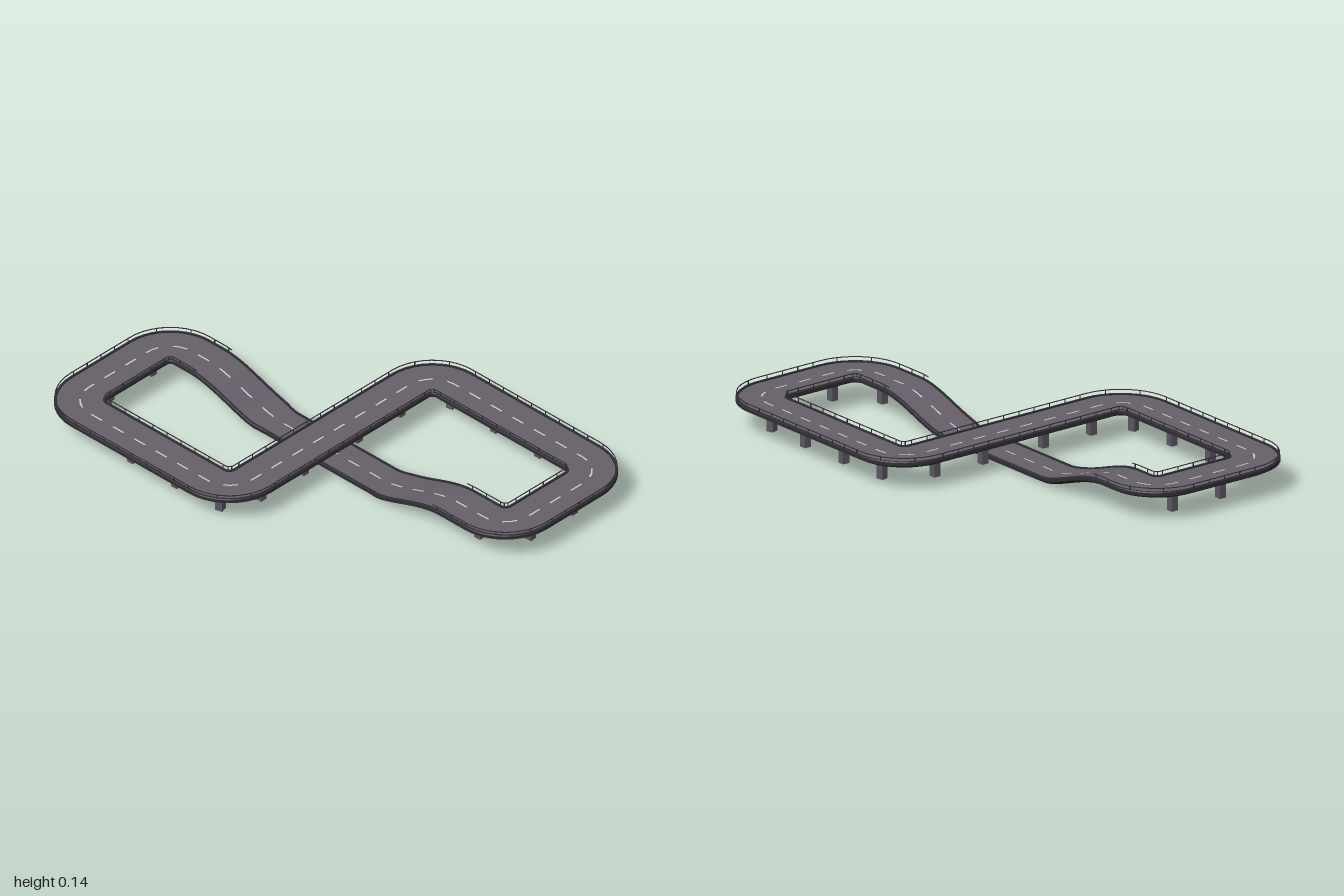
import * as THREE from 'three';
import { mergeGeometries, toCreasedNormals } from 'three/addons/utils/BufferGeometryUtils.js';

const { smoothstep, lerp } = THREE.MathUtils;
const RADIUS = 0.12, DROP = 0.095, CROSS_Z = -0.03;

// One cross-section station: position, heading, height offset and width factor.
function station(x, z, tx, tz) {
  const onRamp = Math.abs(x - 0.01) < 0.02 && Math.abs(tz) > 0.9;
  const d = onRamp ? Math.abs(z - CROSS_Z) : 1;
  return {
    x, z, tx, tz,
    y: -DROP * (1 - smoothstep(d, 0.26, 0.67)),
    w: lerp(0.89, 1, smoothstep(d, 0.27, 0.35)),
  };
}

// Figure-eight centre line: straight runs joined by quarter-circle bends.
function makeStations() {
  const corners = [[0.01, -0.9], [-0.555, -0.9], [-0.555, CROSS_Z], [0.555, CROSS_Z], [0.555, 0.895], [0.01, 0.895]]
    .map(([x, z]) => new THREE.Vector2(x, z));
  const n = corners.length, list = [];
  for (let i = 0; i < n; i++) {
    const prev = corners[(i + n - 1) % n], c = corners[i], next = corners[(i + 1) % n];
    const d1 = c.clone().sub(prev).normalize(), d2 = next.clone().sub(c).normalize();
    const run = c.distanceTo(prev) - 2 * RADIUS, steps = Math.ceil(run / 0.03);
    for (let k = 0; k < steps; k++) {
      const p = prev.clone().addScaledVector(d1, RADIUS + run * k / steps);
      list.push(station(p.x, p.y, d1.x, d1.y));
    }
    for (let k = 0; k < 10; k++) {
      const a = k / 10 * Math.PI / 2, co = Math.cos(a), si = Math.sin(a);
      const p = c.clone().addScaledVector(d1, RADIUS * (si - 1)).addScaledVector(d2, RADIUS * (1 - co));
      list.push(station(p.x, p.y, d1.x * co + d2.x * si, d1.y * co + d2.y * si));
    }
  }
  // Start the lap at the bottom of the underpass.
  list.push(...list.splice(0, 26));
  list.push(list[0]);
  return list;
}

const place = (s, u, v) => [s.x - s.tz * u * s.w, s.y + v, s.z + s.tx * u * s.w];

// Sweep a profile of [across, height] points, listed left to right over the top.
function sweep(stations, profile) {
  const pos = [];
  for (let i = 0; i < stations.length - 1; i++) {
    for (let k = 0; k < profile.length - 1; k++) {
      const a = place(stations[i], ...profile[k]), b = place(stations[i], ...profile[k + 1]);
      const c = place(stations[i + 1], ...profile[k]), d = place(stations[i + 1], ...profile[k + 1]);
      pos.push(...a, ...b, ...c, ...b, ...d, ...c);
    }
  }
  const g = new THREE.BufferGeometry();
  g.setAttribute('position', new THREE.Float32BufferAttribute(pos, 3));
  return toCreasedNormals(g, 0.5);
}

// Lookup of a station by distance along the lap.
function makeLookup(stations) {
  const dist = [0];
  for (let i = 1; i < stations.length; i++) {
    const a = stations[i - 1], b = stations[i];
    dist.push(dist[i - 1] + Math.hypot(b.x - a.x, b.z - a.z));
  }
  const length = dist[dist.length - 1];
  const at = (s) => {
    let i = 1;
    while (i < dist.length - 1 && dist[i] < s) i++;
    const a = stations[i - 1], b = stations[i], t = (s - dist[i - 1]) / (dist[i] - dist[i - 1]);
    const out = {};
    for (const key of Object.keys(a)) out[key] = lerp(a[key], b[key], t);
    return out;
  };
  return { at, length };
}

export function createModel() {
  const model = new THREE.Group();
  const material = (color) => new THREE.MeshStandardMaterial({ color, side: THREE.DoubleSide });
  const roadMat = material(0x665f69), edgeMat = material(0x2f2c33);
  const underMat = material(0x242127), pillarMat = material(0x5a5560), paintMat = material(0xc4c0c0);
  const add = (name, geometry, mat) => {
    const mesh = new THREE.Mesh(geometry, mat);
    mesh.name = name;
    model.add(mesh);
    return mesh;
  };

  const stations = makeStations();
  const { at, length } = makeLookup(stations);

  // Road deck, raised kerbs and tapered underside
  add('roadSurface', sweep(stations, [[-0.089, 0.119], [0.089, 0.119]]), roadMat);
  add('leftKerb', sweep(stations, [[-0.1, 0.108], [-0.1, 0.121], [-0.097, 0.125], [-0.089, 0.125], [-0.089, 0.119]]), edgeMat);
  add('rightKerb', sweep(stations, [[0.089, 0.119], [0.089, 0.125], [0.097, 0.125], [0.1, 0.121], [0.1, 0.108]]), edgeMat);
  add('underside', sweep(stations, [[0.1, 0.108], [0.078, 0.096], [-0.078, 0.096], [-0.1, 0.108]]), underMat);

  // Dashed centre line
  const dashes = Math.round(length / 0.115), dashStep = length / dashes;
  const paint = [];
  for (let i = 0; i < dashes; i++) {
    const part = [0, 0.03, 0.058].map((o) => at(i * dashStep + o));
    paint.push(sweep(part, [[-0.0035, 0.12], [0.0035, 0.12]]));
  }
  add('centreDashes', mergeGeometries(paint), paintMat);

  // Guard rails with posts on both sides of the raised stretch
  const raised = stations.filter((s) => s.y > -0.004);
  for (const [side, u] of [['left', -0.096], ['right', 0.096]]) {
    const r = 0.0015;
    add(side + 'Rail', sweep(raised, [[u - r, 0.138], [u - r, 0.141], [u + r, 0.141], [u + r, 0.138], [u - r, 0.138]]), edgeMat);
    const posts = [];
    for (let s = 0; s < length; s += 0.075) {
      const p = at(s);
      if (p.y <= -0.004) continue;
      posts.push(new THREE.BoxGeometry(0.003, 0.018, 0.003).translate(...place(p, u, 0.131)));
    }
    add(side + 'RailPosts', mergeGeometries(posts), edgeMat);
  }

  // Support pillars: x, z and turn about the vertical
  const pillars = [
    [-0.095, -0.895, 0], [-0.33, -0.895, 0], [-0.53, -0.765, 0.4],
    [-0.555, -0.55, 0], [-0.555, -0.315, 0], [-0.545, -0.09, 0.3],
    [-0.39, -0.025, 0], [-0.155, -0.025, 0], [0.14, -0.025, 0], [0.375, -0.025, 0],
    [0.55, 0.08, 0.2], [0.555, 0.31, 0], [0.555, 0.545, 0], [0.545, 0.765, 0.3],
    [0.375, 0.895, 0], [0.145, 0.895, 0.1], [0.015, 0.75, 0],
  ];
  for (const [x, z, turn] of pillars) {
    const pillar = add('supportPillar', new THREE.BoxGeometry(0.03, 0.09, 0.03), pillarMat);
    pillar.position.set(x, 0.055, z);
    pillar.rotation.y = turn;
  }
  return model;
}
